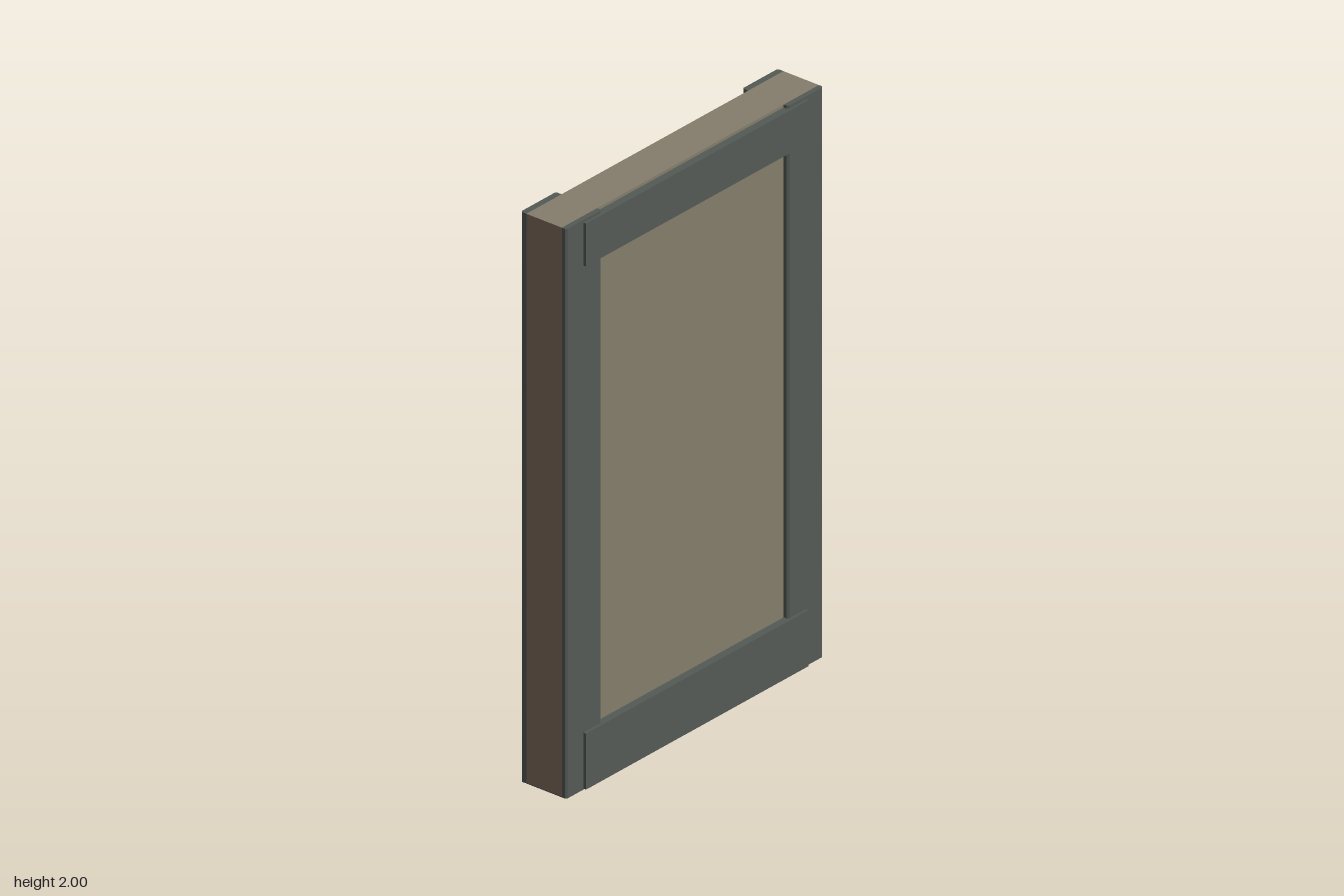
import * as THREE from 'three';

const W = 0.62, H = 2, INNER = 0.45;      // half width, height, inner edge of the stiles
const CORE_FRONT = 0.067, CORE_BACK = -0.077;

const material = (name, color) => {
  const m = new THREE.MeshStandardMaterial({ color });
  m.name = name;
  return m;
};

export function createModel() {
  const tan = material('tanPanel', 0x857e6c);
  const brown = material('brownEdge', 0x86705f);
  const grey = material('greyFrame', 0x545a56);
  const model = new THREE.Group();
  model.name = 'framedPanel';

  const add = (name, geometry, mat) => {
    const mesh = new THREE.Mesh(geometry, mat);
    mesh.name = name;
    model.add(mesh);
    return mesh;
  };

  const box = (name, x0, x1, y0, y1, z0, z1, mat) =>
    add(name, new THREE.BoxGeometry(x1 - x0, y1 - y0, z1 - z0), mat)
      .position.set((x0 + x1) / 2, (y0 + y1) / 2, (z0 + z1) / 2);

  // Solid core, with brown outer edges
  box('corePanel', -W, W, 0.003, H, CORE_BACK, CORE_FRONT, [brown, brown, tan, tan, tan, tan]);

  // Upright plate whose outer face has chamfered corners
  const stile = (name, x0, x1, zIn, zOut) => {
    const b = 0.006, s = Math.sign(zOut - zIn);
    const section = new THREE.Shape([
      [x0, -zIn], [x1, -zIn], [x1, -zOut + s * b], [x1 - b, -zOut],
      [x0 + b, -zOut], [x0, -zOut + s * b],
    ].map(([x, y]) => new THREE.Vector2(x, y)));
    const g = new THREE.ExtrudeGeometry(section, { depth: H, bevelEnabled: false });
    g.rotateX(-Math.PI / 2);
    add(name, g, grey);
  };

  for (const [side, x0, x1] of [['left', INNER, W], ['right', -W, -INNER]]) {
    stile(side + 'FrontStile', x0, x1, CORE_FRONT, 0.085);
    stile(side + 'BackStile', x0, x1, CORE_BACK, -0.1);
    // Foot joining the front and back stiles below the core
    box(side + 'Foot', x0, x1, 0, 0.003, CORE_BACK, CORE_FRONT, grey);
  }

  // Rails overlapping the front stiles
  box('topRail', -0.537, 0.537, 1.84, 1.99, CORE_FRONT, 0.095, grey);
  box('bottomRail', -0.537, 0.537, 0.003, 0.2, CORE_FRONT, 0.095, grey);

  return model;
}
